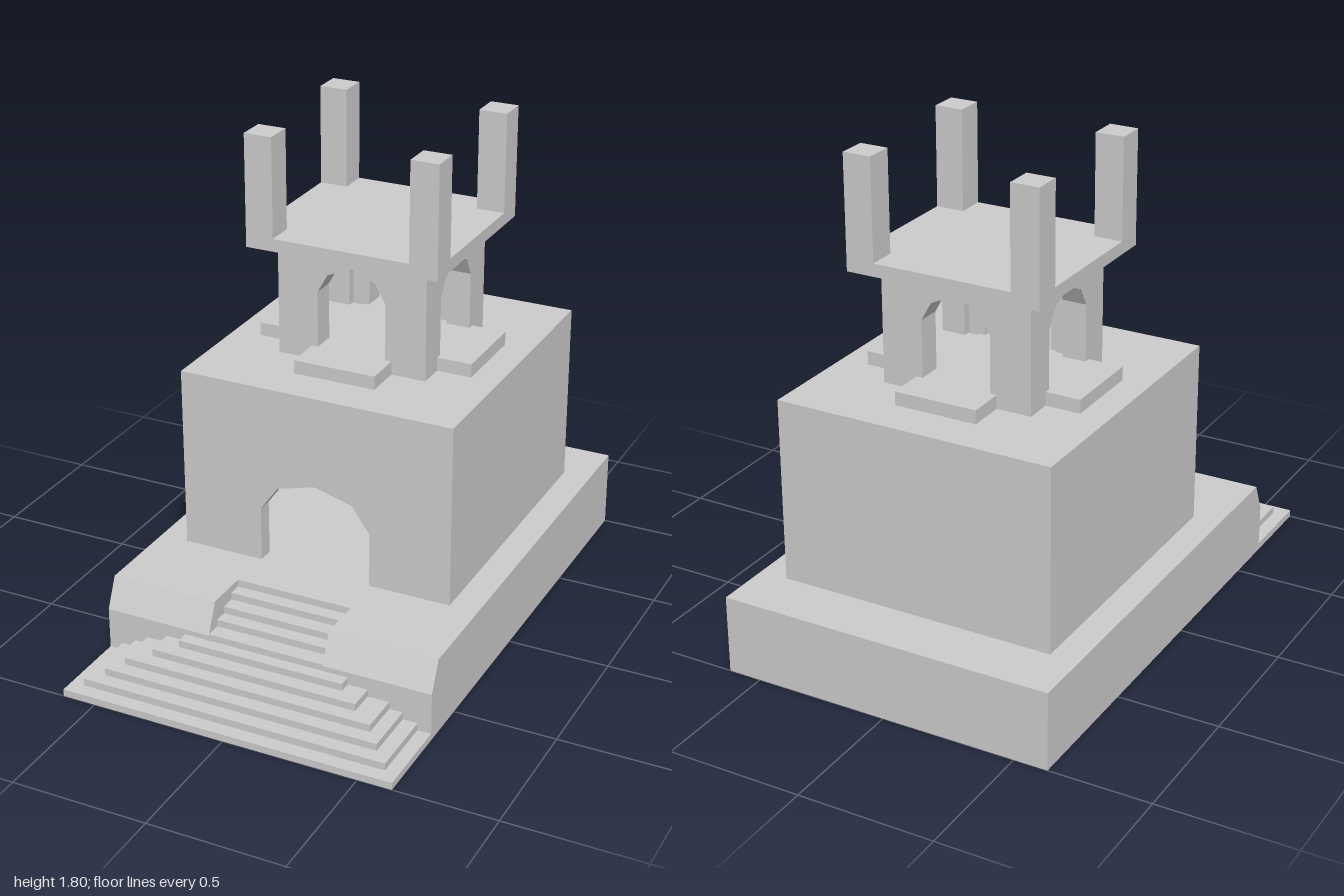
import * as THREE from 'three';

const material = new THREE.MeshStandardMaterial({ color: 0xcccccc, flatShading: true });
const CZ = -0.24; // centre of the upper storeys along z

export function createModel() {
  const model = new THREE.Group();

  function add(name, geometry, parent = model) {
    const mesh = new THREE.Mesh(geometry, material);
    mesh.name = name;
    parent.add(mesh);
    return mesh;
  }

  // Box given by its limits on each axis
  function block(name, [x0, x1], [y0, y1], [z0, z1], parent) {
    const g = new THREE.BoxGeometry(x1 - x0, y1 - y0, z1 - z0);
    g.translate((x0 + x1) / 2, (y0 + y1) / 2, (z0 + z1) / 2);
    return add(name, g, parent);
  }

  // Side profile of [z, y] points, extruded across x
  function sideProfile(name, points, x0, x1) {
    const shape = new THREE.Shape(points.map(([z, y]) => new THREE.Vector2(-z, y)));
    const g = new THREE.ExtrudeGeometry(shape, { depth: x1 - x0, bevelEnabled: false });
    g.rotateY(Math.PI / 2).translate(x0, 0, 0);
    return add(name, g);
  }

  // Wall with a faceted arch open to the floor; arch holds right-hand [x, y] points, bottom to crown
  function archWall(name, half, y0, y1, thick, arch, parent) {
    const left = arch.slice(0, -1).map(([x, y]) => [-x, y]);
    const outline = [[-half, y0], ...left, ...[...arch].reverse(), [half, y0], [half, y1], [-half, y1]];
    const shape = new THREE.Shape(outline.map(([x, y]) => new THREE.Vector2(x, y)));
    const g = new THREE.ExtrudeGeometry(shape, { depth: thick, bevelEnabled: false });
    g.translate(0, 0, -thick);
    return add(name, g, parent);
  }

  // Plinth with sloped front shoulders either side of the stair
  block('plinth', [-0.625, 0.625], [0, 0.29], [-1, 0.475]);
  const shoulder = [[0.475, 0], [0.69, 0], [0.69, 0.18], [0.64, 0.29], [0.475, 0.29]];
  sideProfile('plinthShoulderRight', shoulder, -0.625, -0.22);
  sideProfile('plinthShoulderLeft', shoulder, 0.22, 0.625);

  // Upper flight cut into the plinth
  const flight = [[0.475, 0], [0.69, 0], [0.69, 0.185]];
  [0.63, 0.58, 0.525].forEach((z, i) => {
    flight.push([z, 0.185 + i * 0.026], [z, 0.211 + i * 0.026]);
  });
  flight.push([0.475, 0.263]);
  sideProfile('upperSteps', flight, -0.22, 0.22);

  // Lower flight, narrowing as it rises
  const rise = 0.0267;
  [0.625, 0.575, 0.52, 0.47, 0.39, 0.315].forEach((half, i) => {
    block('lowerStep', [-half, half], [i * rise, (i + 1) * rise], [0.69, 1 - i * 0.053]);
  });

  // Main hall: hollow, with one arched doorway
  const hall = new THREE.Group();
  hall.name = 'hall';
  hall.position.z = CZ;
  model.add(hall);
  const door = [[0.213, 0.29], [0.213, 0.495], [0.145, 0.59], [0, 0.63]];
  archWall('hallFrontWall', 0.52, 0.29, 0.97, 0.06, door, hall).position.z = 0.55;
  block('hallBackWall', [-0.52, 0.52], [0.29, 0.97], [-0.55, -0.49], hall);
  block('hallSideWall', [-0.52, -0.46], [0.29, 0.97], [-0.49, 0.49], hall);
  block('hallSideWall', [0.46, 0.52], [0.29, 0.97], [-0.49, 0.49], hall);
  block('hallCeiling', [-0.46, 0.46], [0.91, 0.97], [-0.49, 0.49], hall);

  // Chamfered column inside the hall
  const a = 0.06, b = 0.048;
  const section = [[a, -b], [a, b], [b, a], [-b, a], [-a, b], [-a, -b], [-b, -a], [b, -a]];
  const column = new THREE.ExtrudeGeometry(
    new THREE.Shape(section.map(([x, y]) => new THREE.Vector2(x, y))),
    { depth: 0.62, bevelEnabled: false });
  column.rotateX(-Math.PI / 2).translate(0, 0.29, 0);
  add('hallColumn', column, hall);

  // Pavilion with an arch on each side
  const pavilion = new THREE.Group();
  pavilion.name = 'pavilion';
  pavilion.position.z = CZ;
  model.add(pavilion);
  const arch = [[0.131, 0.97], [0.131, 1.23], [0.092, 1.3], [0, 1.34]];
  const T = 0.09;
  for (const s of [0, 1]) {
    const front = archWall('pavilionEndWall', 0.285, 0.97, 1.39, T, arch, pavilion);
    front.rotation.y = s * Math.PI;
    front.position.z = s ? -0.255 : 0.255;
    const side = archWall('pavilionSideWall', 0.255 - T, 0.97, 1.39, T, arch, pavilion);
    side.rotation.y = s ? -Math.PI / 2 : Math.PI / 2;
    side.position.x = s ? -0.285 : 0.285;
  }

  // Crossing threshold slabs
  block('thresholdLong', [-0.155, 0.155], [0.97, 1.02], [-0.393, 0.393], pavilion);
  for (const s of [-1, 1]) {
    const x = [s * 0.155, s * 0.415].sort((p, q) => p - q);
    block('thresholdSide', x, [0.97, 1.02], [-0.155, 0.155], pavilion);
  }

  // Roof slab and corner posts
  block('roofSlab', [-0.363, 0.363], [1.39, 1.437], [-0.342, 0.342], pavilion);
  for (const sx of [-1, 1]) for (const sz of [-1, 1]) {
    const post = block('cornerPost', [-0.0525, 0.0525], [1.437, 1.805], [-0.0525, 0.0525], pavilion);
    post.position.set(sx * 0.3105, 0, sz * 0.2895);
  }
  return model;
}
